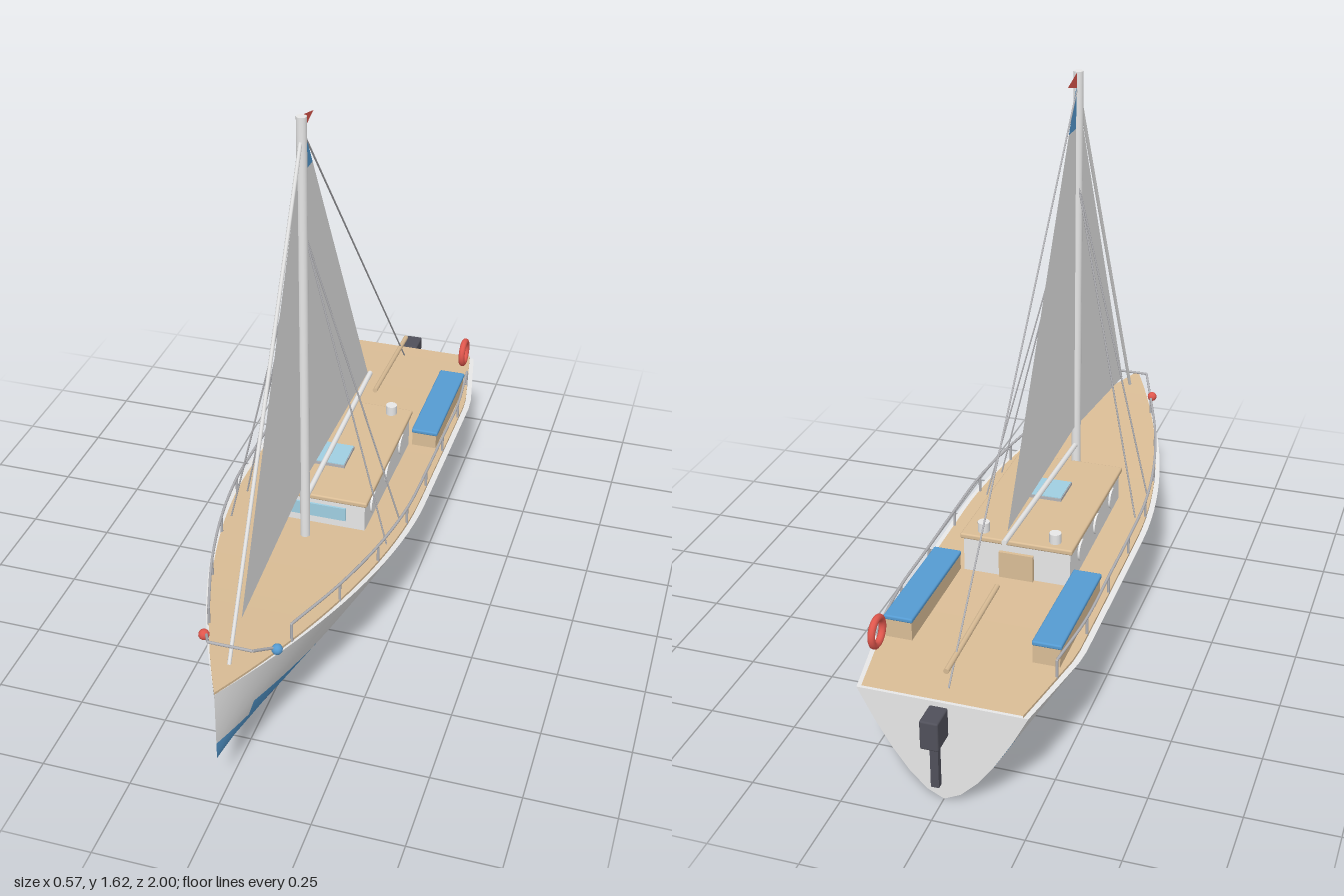
import * as THREE from 'three';
import { RoundedBoxGeometry } from 'three/addons/geometries/RoundedBoxGeometry.js';

const mat = (name, color, side = THREE.FrontSide) => {
  const m = new THREE.MeshStandardMaterial({ color, side });
  m.name = name;
  return m;
};

// Hull lines as functions of z
const STERN = -0.91, LENGTH = 1.91, STEPS = 36;
const halfWidth = z => z > 0 ? 0.285 * (1 - Math.pow(Math.min(z, 1), 1.8))
  : z < -0.62 ? 0.285 - 0.055 * (-0.62 - z) / 0.29 : 0.285;
const keelY = z => z > 0 ? 0.16 * Math.pow(z, 1.6) : 0;
const sheerY = z => 0.298 + 0.074 * Math.pow(Math.max(0, (z - STERN) / LENGTH), 1.7);
const hullSection = z => {
  const pts = [];
  for (let j = -5; j <= 5; j++)
    pts.push([halfWidth(z) * j / 5, keelY(z) + (sheerY(z) - keelY(z)) * Math.pow(Math.abs(j / 5), 1.6)]);
  return pts;
};

// Skins sections from stern to bow; pick(y) chooses the material of each face
function loft(section, pick = () => 0) {
  const pos = [], buckets = [[], [], []], n = section(0).length;
  for (let i = 0; i <= STEPS; i++) {
    const z = STERN + LENGTH * i / STEPS;
    section(z).forEach(([x, y]) => pos.push(x, y, z));
  }
  for (let i = 0; i < STEPS; i++) for (let j = 0; j < n - 1; j++) {
    const a = i * n + j, b = a + 1, c = a + n, d = c + 1;
    const y = [a, b, c, d].reduce((s, k) => s + pos[k * 3 + 1], 0) / 4;
    buckets[pick(y)].push(a, b, c, b, d, c);
  }
  const g = new THREE.BufferGeometry();
  g.setAttribute('position', new THREE.Float32BufferAttribute(pos, 3));
  g.setIndex(buckets.flat());
  let start = 0;
  buckets.forEach((b, k) => { g.addGroup(start, b.length, k); start += b.length; });
  g.computeVertexNormals();
  return g;
}

export function createModel() {
  const boat = new THREE.Group();
  boat.name = 'sailboat';
  const white = mat('white', 0xf0f0f0);
  const blue = mat('blue', 0x559bd2, THREE.DoubleSide);
  const navy = mat('navy', 0x4c6294);
  const wood = mat('wood', 0xdabd96);
  const metal = mat('metal', 0xb4b4b8);
  const black = mat('black', 0x50505a);
  const red = mat('red', 0xe0574d, THREE.DoubleSide);
  const glass = mat('glass', 0xa0cfe2);
  const cloth = mat('sailcloth', 0xf2f2f2, THREE.DoubleSide);

  const add = (name, geo, material, x = 0, y = 0, z = 0) => {
    const m = new THREE.Mesh(geo, material);
    m.name = name;
    m.position.set(x, y, z);
    boat.add(m);
    return m;
  };
  const box = (name, m, w, h, d, x, y, z) => add(name, new THREE.BoxGeometry(w, h, d), m, x, y, z);
  const softBox = (name, m, w, h, d, x, y, z) =>
    add(name, new RoundedBoxGeometry(w, h, d, 2, 0.005), m, x, y, z);
  // Round bar between two points
  const rod = (name, m, a, b, r, sides = 6) => {
    const p = new THREE.Vector3(...a), q = new THREE.Vector3(...b);
    const bar = add(name, new THREE.CylinderGeometry(r, r, p.distanceTo(q), sides), m);
    bar.position.copy(p).lerp(q, 0.5);
    bar.quaternion.setFromUnitVectors(new THREE.Vector3(0, 1, 0), q.sub(p).normalize());
  };
  // Flat panel in the centre plane, corners as [z, y]
  const panel = (name, m, pts) => {
    const g = new THREE.ShapeGeometry(new THREE.Shape(pts.map(([z, y]) => new THREE.Vector2(-z, y))));
    add(name, g.rotateY(Math.PI / 2), m);
  };

  // Hull with stepped paint, transom, gunwale and deck
  add('hull', loft(hullSection, y => y < 0.133 ? 0 : y < 0.202 ? 1 : 2), [navy, blue, white]);
  const transom = new THREE.Shape(hullSection(STERN).map(p => new THREE.Vector2(...p)));
  add('transom', new THREE.ShapeGeometry(transom).rotateY(Math.PI), white, 0, 0, STERN);
  add('gunwale', loft(z => [[halfWidth(z), sheerY(z)], [-halfWidth(z), sheerY(z)]]), [white, white, white]);
  const deck = loft(z => {
    const w = halfWidth(z) * 0.94, y = sheerY(z);
    return [[w, y], [w, y + 0.007], [-w, y + 0.007], [-w, y]];
  }).toNonIndexed();
  deck.computeVertexNormals();
  add('deck', deck, [wood, wood, wood]);

  // Cabin
  box('cabin', white, 0.312, 0.12, 0.5, 0, 0.36, -0.065);
  softBox('cabinRoof', wood, 0.328, 0.016, 0.52, 0, 0.427, -0.065);
  box('skylightFrame', metal, 0.104, 0.01, 0.108, 0, 0.439, -0.013);
  box('skylight', glass, 0.1, 0.003, 0.104, 0, 0.4445, -0.013);
  box('frontWindow', glass, 0.2, 0.042, 0.008, 0, 0.38, 0.187);
  box('cabinDoor', wood, 0.1, 0.08, 0.012, 0, 0.355, -0.319);

  for (const s of [-1, 1]) {
    for (const z of [0.1, -0.06, -0.215])
      add('porthole', new THREE.CylinderGeometry(0.031, 0.031, 0.01, 20).rotateZ(Math.PI / 2), white, s * 0.157, 0.378, z);
    add('vent', new THREE.CylinderGeometry(0.017, 0.017, 0.03, 14), white, s * 0.105, 0.449, -0.29);

    // Cockpit seats
    box('bench', wood, 0.075, 0.055, 0.37, s * 0.205, 0.332, -0.5);
    softBox('cushion', blue, 0.082, 0.014, 0.375, s * 0.206, 0.366, -0.5);

    // Guard rail with stanchions
    const railAt = (z, h) => [s * halfWidth(z) * 0.93, sheerY(z) + h, z];
    const rail = [];
    for (let i = 0; i <= 7; i++) {
      const z = 0.73 - i * 0.208;
      rail.push(new THREE.Vector3(...railAt(z, 0.057)));
      rod('stanchion', metal, railAt(z, 0), railAt(z, 0.057), 0.004);
    }
    add('guardRail', new THREE.TubeGeometry(new THREE.CatmullRomCurve3(rail), 40, 0.004, 6), metal);

    // Bow pulpit and navigation lights
    rod('pulpitSide', metal, [s * 0.1, 0.38, 0.79], [s * 0.06, 0.43, 0.88], 0.004);
    add('navigationLight', new THREE.SphereGeometry(0.015, 12, 8), s < 0 ? red : blue, s * 0.1, 0.385, 0.805);

    // Shrouds
    for (const z of [0.09, 0.23])
      rod('shroud', metal, [0, 1.31, 0.25], [s * 0.235, sheerY(z), z], 0.0025, 6);
  }
  rod('pulpitFront', metal, [-0.06, 0.43, 0.88], [0.06, 0.43, 0.88], 0.004);

  // Mast, boom and stays
  rod('mast', white, [0, 0.32, 0.255], [0, 1.62, 0.255], 0.014, 14);
  rod('boom', white, [0, 0.46, 0.25], [0, 0.486, -0.42], 0.008, 10);
  rod('forestay', white, [0, 1.58, 0.25], [0, 0.38, 0.89], 0.0055, 8);
  rod('backstay', metal, [0, 1.57, 0.24], [0, 0.305, -0.855], 0.0025, 6);

  // Sails and pennant
  panel('mainsail', cloth, [[0.235, 0.525], [-0.39, 0.505], [0.165, 1.46], [0.235, 1.46]]);
  panel('mainsailHead', blue, [[0.235, 1.46], [0.165, 1.46], [0.235, 1.58]]);
  panel('jib', cloth, [[0.79, 0.45], [0.29, 0.515], [0.29, 1.475]]);
  panel('pennant', red, [[0.245, 1.573], [0.155, 1.597], [0.245, 1.62]]);

  // Tiller and outboard motor
  rod('tiller', wood, [0, 0.385, -0.48], [0, 0.365, -0.87], 0.008, 8);
  softBox('motorHead', black, 0.05, 0.084, 0.074, 0, 0.257, -0.963);
  box('motorLeg', black, 0.022, 0.15, 0.018, 0, 0.155, -0.96);

  // Life ring
  add('lifeRing', new THREE.TorusGeometry(0.037, 0.01, 10, 28).rotateY(Math.PI / 2), red, 0.22, 0.39, -0.79);
  return boat;
}
